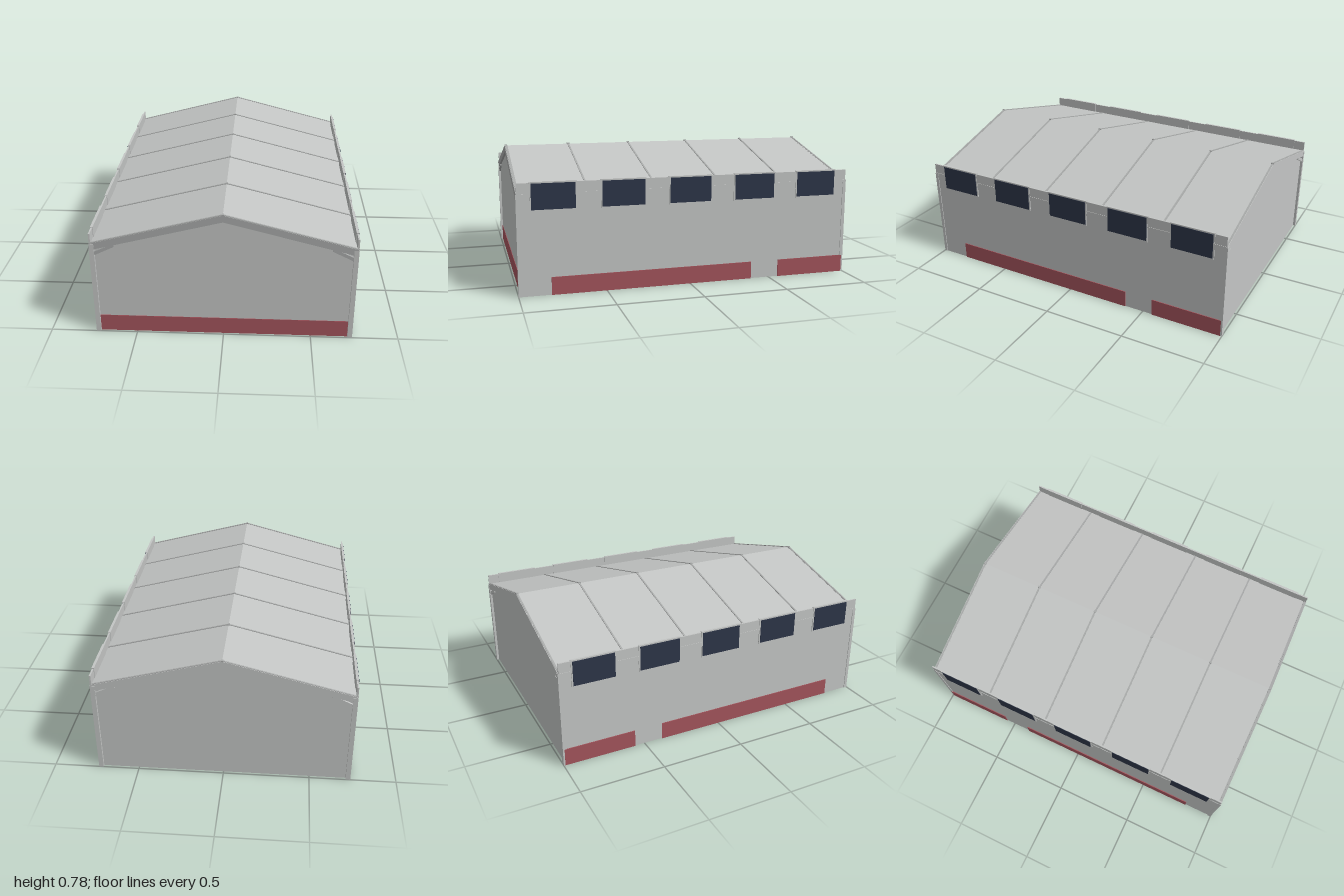
import * as THREE from 'three';

const mat = (name, color) => {
  const m = new THREE.MeshStandardMaterial({ color });
  m.name = name;
  return m;
};

export function createModel() {
  const wallGrey = mat('wallGrey', 0xc3c5c4);
  const steelGrey = mat('steelGrey', 0xa9abaa);
  const red = mat('red', 0xa3545c);
  const glass = mat('darkBlueGlass', 0x2d3548);

  const group = new THREE.Group();
  const add = (name, geo, material) => {
    const mesh = new THREE.Mesh(geo, material);
    mesh.name = name;
    group.add(mesh);
    return mesh;
  };
  // Box given by its minimum and maximum corners
  const box = (name, material, [x0, y0, z0], [x1, y1, z1]) => {
    const mesh = add(name, new THREE.BoxGeometry(x1 - x0, y1 - y0, z1 - z0), material);
    mesh.position.set((x0 + x1) / 2, (y0 + y1) / 2, (z0 + z1) / 2);
  };
  // Box on the +x or -x side, measured from the centre line
  const sideBox = (name, material, s, [x0, y0, z0], [x1, y1, z1]) =>
    box(name, material, [Math.min(s * x0, s * x1), y0, z0], [Math.max(s * x0, s * x1), y1, z1]);
  // Outline in x and y pushed out from z0 to z1
  const prism = (name, material, points, z0, z1) => {
    const shape = new THREE.Shape(points.map(([x, y]) => new THREE.Vector2(x, y)));
    const geo = new THREE.ExtrudeGeometry(shape, { depth: z1 - z0, bevelEnabled: false });
    add(name, geo.translate(0, 0, z0), material);
  };
  const roofY = x => 0.77 - 0.26 * x;
  // Bent band following both roof slopes
  const gableBand = (name, material, w, top, bottom, z0, z1) => prism(name, material, [
    [-w, roofY(w) + bottom], [0, roofY(0) + bottom], [w, roofY(w) + bottom],
    [w, roofY(w) + top], [0, roofY(0) + top], [-w, roofY(w) + top],
  ], z0, z1);

  // Hall body with gable ends and floor
  prism('hallBody', wallGrey, [
    [-0.734, 0], [0.734, 0], [0.734, 0.573], [0, 0.764], [-0.734, 0.573],
  ], -0.985, 0.985);

  // Roof sheet, raised rafter strips and ridge caps
  gableBand('roofSheet', wallGrey, 0.728, 0, -0.006, -0.992, 0.992);
  for (let i = 0; i < 6; i++) {
    const z = -0.99 + i * 0.396;
    gableBand('rafterStrip', steelGrey, 0.73, 0.004, -0.003, z - 0.005, z + 0.005);
    box('ridgeCap', steelGrey, [-0.006, 0.768, z - 0.008], [0.006, 0.776, z + 0.008]);
  }

  // End rafters
  gableBand('frontRafter', steelGrey, 0.735, 0.001, -0.04, 0.98, 0.998);
  gableBand('backRafter', wallGrey, 0.735, 0.001, -0.04, -0.998, -0.98);

  // Red base on the front
  box('frontBase', red, [-0.712, 0, 0.98], [0.712, 0.103, 0.988]);

  for (const s of [1, -1]) {
    // Corner columns and sloping haunches
    for (const e of [1, -1]) {
      const [z0, z1] = e > 0 ? [0.98, 1] : [-1, -0.98];
      sideBox('cornerColumn', wallGrey, s, [0.711, 0, z0], [0.738, 0.575, z1]);
      const haunch = [[0.6, 0.562], [0.715, 0.505], [0.728, 0.522], [0.6, 0.582]];
      prism('haunch', e > 0 ? steelGrey : wallGrey,
        haunch.map(([x, y]) => [s * x, y]), e > 0 ? 0.98 : -0.996, e > 0 ? 0.996 : -0.98);
    }

    // Parapet and eave rail
    sideBox('parapet', wallGrey, s, [0.728, 0.55, -0.995], [0.737, 0.64, 0.995]);
    sideBox('eaveRail', wallGrey, s, [0.73, 0.574, -0.99], [0.7395, 0.581, 0.99]);

    // Windows in slim frames
    for (let i = 0; i < 5; i++) {
      const z = (i - 2) * 0.397;
      sideBox('windowFrame', wallGrey, s, [0.725, 0.481, z - 0.131], [0.74, 0.645, z + 0.131]);
      sideBox('windowPane', glass, s, [0.736, 0.49, z - 0.123], [0.7425, 0.637, z + 0.123]);
    }

    // Red base in two lengths, broken by a doorway
    for (const [z0, z1] of [[-0.99, -0.56], [-0.385, 0.815]]) {
      sideBox('sideBase', red, s, [0.732, 0, z0], [0.739, 0.103, z1]);
    }
  }

  return group;
}
